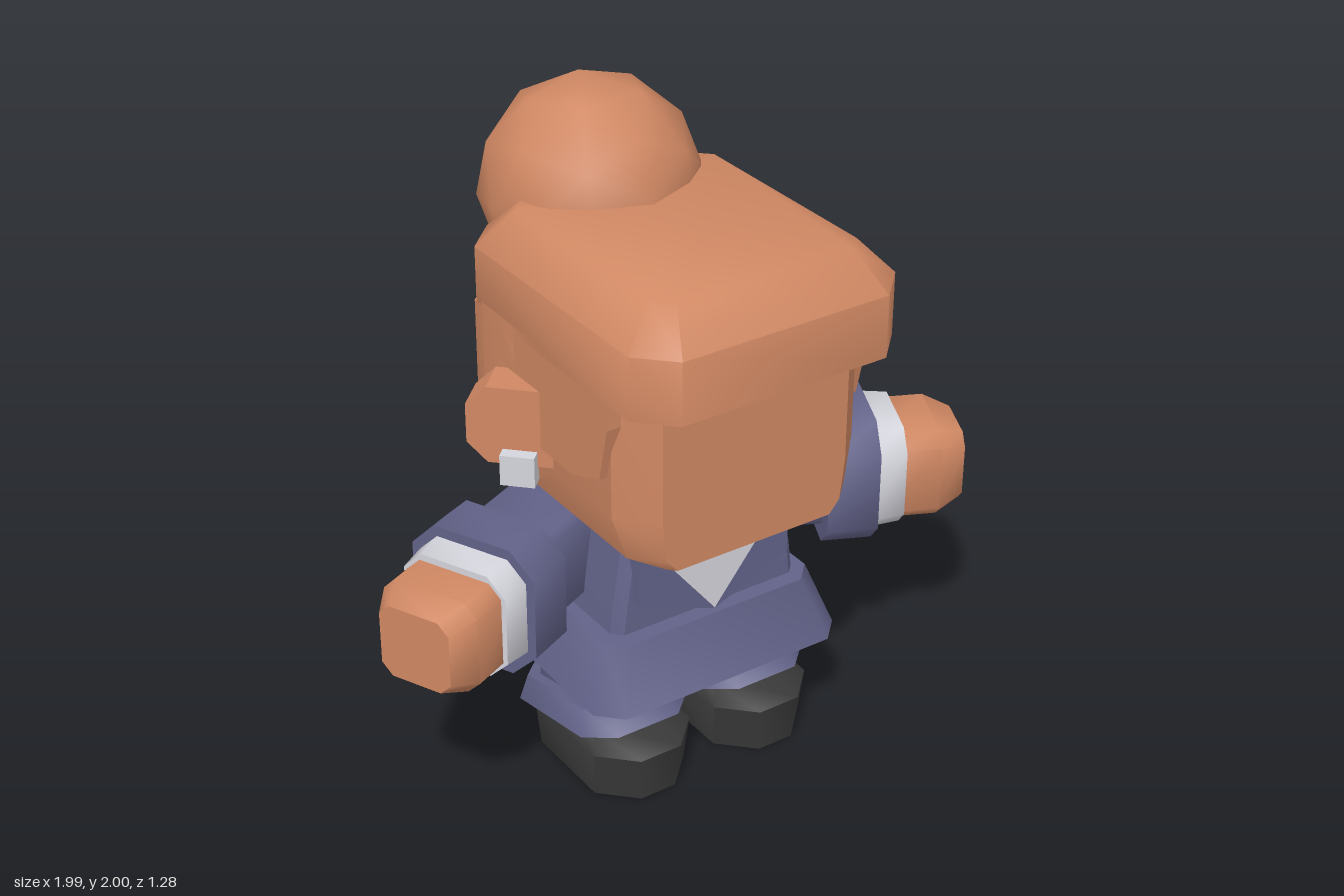
import * as THREE from 'three';
import { toCreasedNormals } from 'three/addons/utils/BufferGeometryUtils.js';

const material = (name, color) => {
  const m = new THREE.MeshStandardMaterial({ color });
  m.name = name;
  return m;
};

// Stacks chamfered rectangles: each section is [y, halfWidth, backZ, frontZ, chamfer]
function loft(sections, crease = 0.9) {
  const rings = sections.map(([y, w, z0, z1, c]) => [
    [w, y, z0 + c], [w, y, z1 - c], [w - c, y, z1], [c - w, y, z1],
    [-w, y, z1 - c], [-w, y, z0 + c], [c - w, y, z0], [w - c, y, z0],
  ]);
  const pos = [];
  const tri = (a, b, c) => pos.push(...a, ...b, ...c);
  for (let r = 0; r < rings.length - 1; r++) {
    for (let i = 0; i < 8; i++) {
      const j = (i + 1) % 8, lo = rings[r], hi = rings[r + 1];
      tri(lo[i], hi[i], hi[j]);
      tri(lo[i], hi[j], lo[j]);
    }
  }
  const bottom = rings[0], top = rings[rings.length - 1];
  for (let i = 1; i < 7; i++) {
    tri(bottom[0], bottom[i], bottom[i + 1]);
    tri(top[0], top[i + 1], top[i]);
  }
  const g = new THREE.BufferGeometry();
  g.setAttribute('position', new THREE.Float32BufferAttribute(pos, 3));
  return toCreasedNormals(g, crease);
}

// Flat outline pushed along z
function slab(points, depth) {
  const shape = new THREE.Shape(points.map(([x, y]) => new THREE.Vector2(x, y)));
  return new THREE.ExtrudeGeometry(shape, { depth, bevelEnabled: false });
}

export function createModel() {
  const model = new THREE.Group();
  const skin = material('warm tan', 0xd08863);
  const navy = material('dusty navy', 0x626289);
  const white = material('pale grey', 0xd4d4dc);
  const black = material('charcoal', 0x383838);

  const add = (name, geometry, mat, parent = model) => {
    const mesh = new THREE.Mesh(geometry, mat);
    mesh.name = name;
    parent.add(mesh);
    return mesh;
  };

  // Head with narrowing chin
  add('head', loft([
    [0.89, 0.28, -0.31, 0.52, 0.02],
    [0.93, 0.375, -0.31, 0.52, 0.08],
    [1.06, 0.41, -0.31, 0.52, 0.1],
    [1.6, 0.41, -0.31, 0.52, 0.1],
  ], 0.6), skin);

  // Hair cap with overhanging fringe
  add('hairCap', loft([
    [1.43, 0.435, -0.33, 0.645, 0.1],
    [1.62, 0.435, -0.33, 0.645, 0.1],
    [1.73, 0.335, -0.22, 0.545, 0.05],
  ]), skin);
  add('backHair', loft([
    [1.02, 0.435, -0.33, 0.06, 0.09],
    [1.45, 0.435, -0.33, 0.06, 0.09],
  ]), skin);

  // Hair bun
  const bun = add('hairBun', new THREE.IcosahedronGeometry(0.33, 1), skin);
  bun.position.set(0, 1.675, -0.31);
  bun.rotation.x = -0.175;

  // Jacket body, chest panel, shirt and skirt
  add('torso', loft([
    [0.5, 0.33, -0.24, 0.3, 0.03],
    [0.66, 0.31, -0.24, 0.3, 0.03],
    [0.9, 0.26, -0.18, 0.28, 0.03],
  ], 0.5), navy);
  const chest = [[-0.26, 0.66], [0, 0.56], [0.26, 0.66], [0.26, 0.89], [-0.26, 0.89]];
  add('lapels', slab(chest, 0.08), navy).position.z = 0.25;
  add('shirt', slab([[0, 0.565], [0.26, 0.892], [-0.26, 0.892]], 0.006), white).position.z = 0.328;
  add('skirt', loft([
    [0.36, 0.43, -0.345, 0.415, 0.07],
    [0.56, 0.36, -0.25, 0.35, 0.06],
  ]), navy);

  for (const s of [1, -1]) {
    const side = s > 0 ? 'left' : 'right';
    const turned = (name, x, y, z, angle) => {
      const g = new THREE.Group();
      g.name = side + name;
      g.position.set(s * x, y, z);
      g.rotation.y = s > 0 ? angle : Math.PI - angle;
      model.add(g);
      return g;
    };

    // Side hair, cut away around the cheek
    const lock = slab([
      [0.44, 1.46], [0.44, 1.35], [0.4, 1.18], [0.27, 1.13], [0.1, 1.13],
      [0.08, 1.02], [-0.2, 1.02], [-0.2, 1.46],
    ], 0.055);
    lock.rotateY(-Math.PI / 2);
    add(side + 'SideHair', lock, skin).position.x = s > 0 ? 0.435 : -0.38;

    // Ear plate turned outward, with earring
    const ear = turned('Ear', 0.402, 1.19, 0.048, Math.PI / 4);
    add(side + 'EarPlate', slab([
      [-0.05, -0.12], [0.14, -0.12], [0.2, -0.06], [0.2, 0.06], [0.14, 0.12], [-0.05, 0.12],
    ], 0.12).translate(0, 0, -0.06), skin, ear);
    const ring = turned('Earring', 0.48, 1.07, 0.06, Math.PI / 4);
    add(side + 'EarringBlock', new THREE.BoxGeometry(0.1, 0.095, 0.07), white, ring);

    // Arm, built along its own length and swung forward
    const arm = turned('Arm', 0.62, 0.745, 0.11, -0.436);
    const along = (name, mat, sections) => {
      const g = loft(sections.map(([t, h, p, c]) => [t, h, -p, p, c]));
      add(side + name, g.rotateZ(-Math.PI / 2), mat, arm);
    };
    along('Sleeve', navy, [[-0.45, 0.145, 0.14, 0.02], [-0.05, 0.145, 0.14, 0.02]]);
    along('SleeveCuff', navy, [[-0.078, 0.205, 0.205, 0.08], [0.078, 0.205, 0.205, 0.08]]);
    along('ShirtCuff', white, [[0.05, 0.175, 0.18, 0.06], [0.167, 0.165, 0.17, 0.06]]);
    along('Hand', skin, [
      [0.12, 0.145, 0.155, 0.04], [0.28, 0.145, 0.155, 0.04], [0.36, 0.115, 0.115, 0.035],
    ]);

    // Leg, slanted trouser cuff and shoe
    const leg = new THREE.Group();
    leg.name = side + 'Leg';
    leg.position.x = s * 0.215;
    model.add(leg);
    add(side + 'Trouser', loft([
      [0.15, 0.125, -0.15, 0.22, 0.05], [0.4, 0.115, -0.15, 0.22, 0.05],
    ]), navy, leg);
    const cuff = loft([
      [0.15, 0.185, -0.2, 0.31, 0.08], [0.225, 0.155, -0.19, 0.26, 0.07],
    ]);
    cuff.applyMatrix4(new THREE.Matrix4().makeShear(0, 0, 0, 0, 0, 0.2));
    const p = cuff.attributes.position;
    const base = loft([
      [0.15, 0.185, -0.2, 0.31, 0.08], [0.225, 0.155, -0.19, 0.26, 0.07],
    ]).attributes.position;
    for (let i = 0; i < p.count; i++) {
      p.setXYZ(i, base.getX(i), base.getY(i) + 0.2 * base.getZ(i), base.getZ(i));
    }
    add(side + 'TrouserCuff', toCreasedNormals(cuff, 0.9), navy, leg);
    add(side + 'Shoe', loft([
      [0, 0.16, -0.14, 0.36, 0.1],
      [0.15, 0.17, -0.155, 0.375, 0.1],
      [0.2, 0.135, -0.11, 0.29, 0.07],
    ]), black, leg);
  }
  return model;
}
